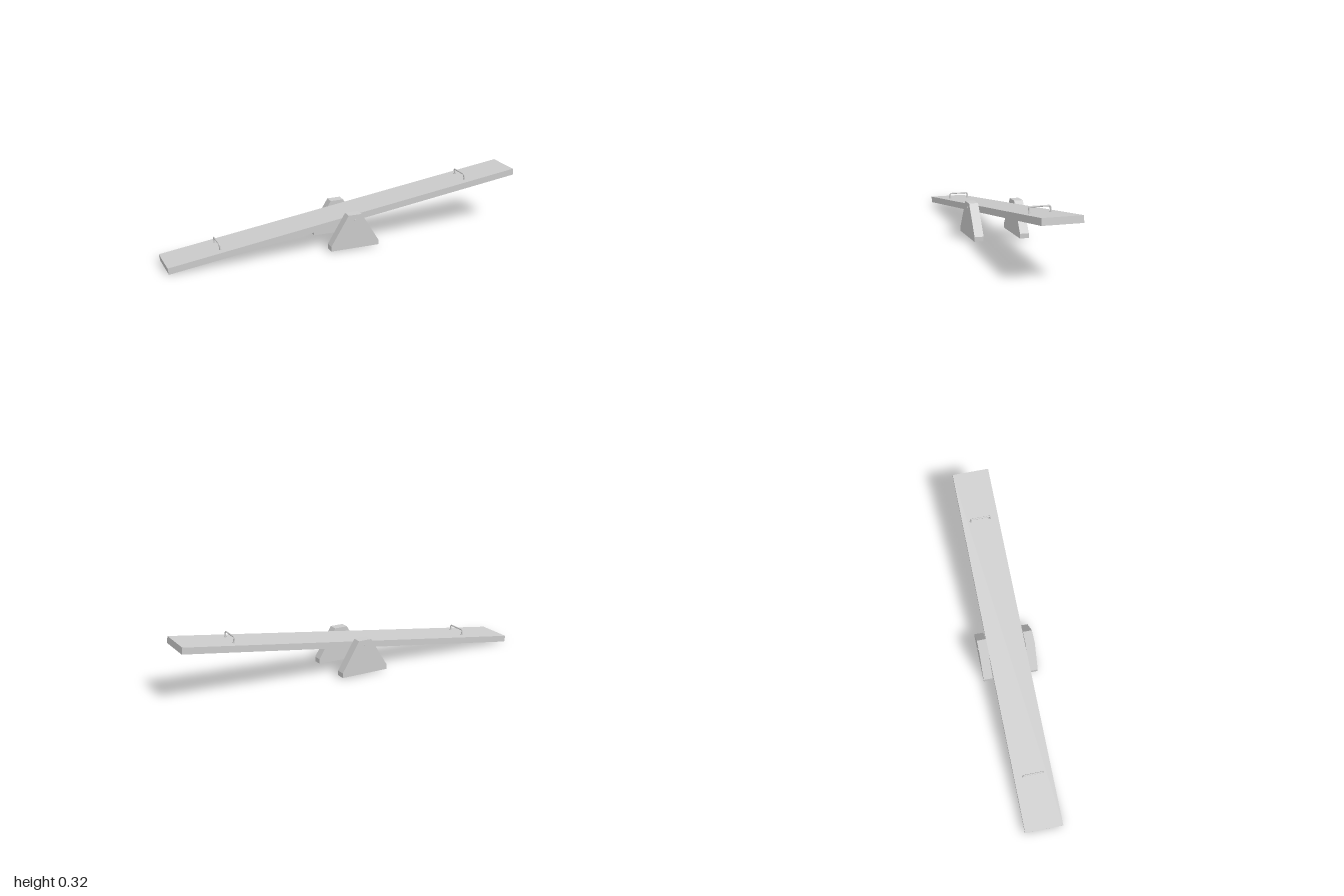
import * as THREE from 'three';

const material = new THREE.MeshStandardMaterial({ color: 0xcccccc });

function addMesh(parent, name, geometry, x = 0, y = 0, z = 0) {
  const mesh = new THREE.Mesh(geometry, material);
  mesh.name = name;
  mesh.position.set(x, y, z);
  parent.add(mesh);
  return mesh;
}

// U-shaped grab handle with rounded corners and small feet
function createHandle() {
  const handle = new THREE.Group();
  handle.name = 'handle';
  const h = 0.03, w = 0.054, r = 0.008;
  const v = (y, z) => new THREE.Vector3(0, y, z);
  const path = new THREE.CurvePath();
  path.add(new THREE.LineCurve3(v(0, -w), v(h - r, -w)));
  path.add(new THREE.QuadraticBezierCurve3(v(h - r, -w), v(h, -w), v(h, -w + r)));
  path.add(new THREE.LineCurve3(v(h, -w + r), v(h, w - r)));
  path.add(new THREE.QuadraticBezierCurve3(v(h, w - r), v(h, w), v(h - r, w)));
  path.add(new THREE.LineCurve3(v(h - r, w), v(0, w)));
  addMesh(handle, 'handleBar', new THREE.TubeGeometry(path, 64, 0.004, 12));
  for (const side of [-1, 1]) {
    addMesh(handle, 'handleFoot', new THREE.CylinderGeometry(0.006, 0.006, 0.005, 16), 0, 0.0025, side * w);
  }
  return handle;
}

export function createModel() {
  const model = new THREE.Group();
  model.name = 'seesaw';

  // Tilted plank with a handle near each end
  const thickness = 0.035;
  const beam = new THREE.Group();
  beam.name = 'beam';
  beam.position.y = 0.158;
  beam.rotation.z = 0.14;
  model.add(beam);
  addMesh(beam, 'plank', new THREE.BoxGeometry(2.0147, thickness, 0.203));
  for (const side of [-1, 1]) {
    const handle = createHandle();
    handle.position.set(side * 0.718, thickness / 2, 0);
    beam.add(handle);
  }

  // Tapered supports on both sides of the plank
  const profile = new THREE.Shape([
    [-0.137, 0.008], [0.137, 0.008], [0.137, 0.034],
    [0.037, 0.196], [-0.037, 0.196], [-0.137, 0.034],
  ].map(([x, y]) => new THREE.Vector2(x, y)));
  const supportGeometry = new THREE.ExtrudeGeometry(profile, { depth: 0.05, bevelEnabled: false });
  for (const z of [0.102, -0.152]) addMesh(model, 'support', supportGeometry, 0, 0, z);

  // Pivot pin through supports and plank
  const pin = addMesh(model, 'pivotPin', new THREE.CylinderGeometry(0.006, 0.006, 0.31, 16), 0, 0.166, 0);
  pin.rotation.x = Math.PI / 2;

  return model;
}
